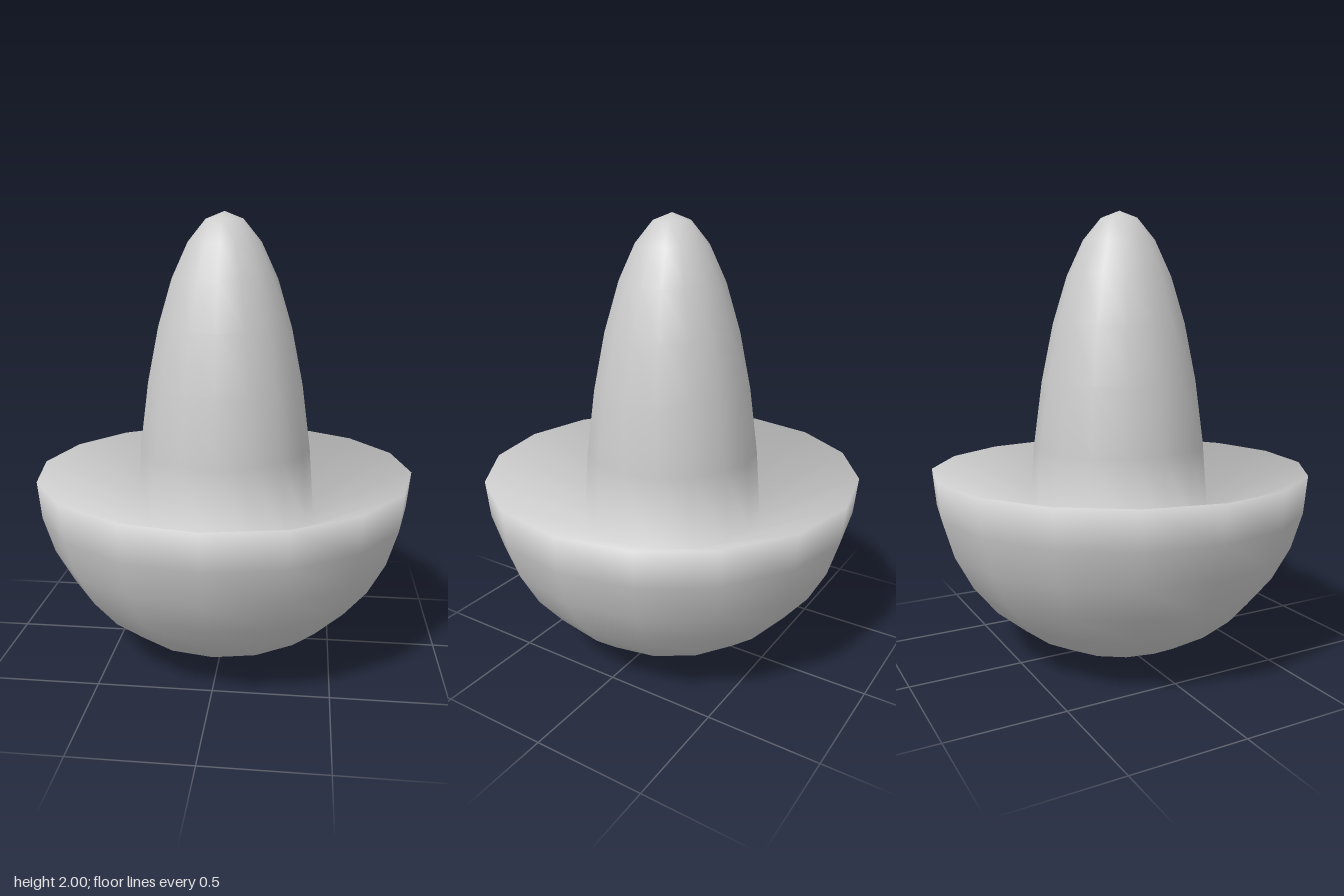
import * as THREE from 'three';

const SIDES = 16;
const STEP = Math.PI / 16;
const BOWL = { radius: 0.852, rim: 0.857 };
const DOME = { radius: 0.423, height: 1.69, centre: 0.31 };

// Outline from the bottom pole, up the bowl to its rim, down the sunken
// funnel-shaped top to the foot of the dome, and up the dome to its tip
function outline() {
  const points = [];
  for (let k = 0; k <= 8; k++) {
    points.push(new THREE.Vector2(
      BOWL.radius * Math.sin(k * STEP),
      BOWL.rim - BOWL.rim * Math.cos(k * STEP)
    ));
  }
  for (let k = 7; k >= 0; k--) {
    points.push(new THREE.Vector2(
      DOME.radius * Math.sin(k * STEP),
      DOME.centre + DOME.height * Math.cos(k * STEP)
    ));
  }
  return points;
}

// Smooth normal at each outline point: the even mean of its two segments
function outlineNormals(points) {
  const segments = points.slice(1).map((p, i) =>
    new THREE.Vector2(p.y - points[i].y, points[i].x - p.x).normalize());
  return points.map((p, i) => {
    if (i === 0) return new THREE.Vector2(0, -1);
    if (i === points.length - 1) return new THREE.Vector2(0, 1);
    return segments[i - 1].clone().add(segments[i]).normalize();
  });
}

export function createModel() {
  const group = new THREE.Group();
  group.name = 'domedBowl';

  const points = outline();
  const normals = outlineNormals(points);
  const geometry = new THREE.LatheGeometry(points, SIDES);
  const attribute = geometry.attributes.normal;
  for (let i = 0; i < attribute.count; i++) {
    const n = normals[i % points.length];
    const angle = Math.floor(i / points.length) * 2 * Math.PI / SIDES;
    attribute.setXYZ(i, n.x * Math.sin(angle), n.y, n.x * Math.cos(angle));
  }

  const body = new THREE.Mesh(geometry, new THREE.MeshStandardMaterial({ color: 0xcccccc }));
  body.name = 'bowlWithDome';
  group.add(body);
  return group;
}
